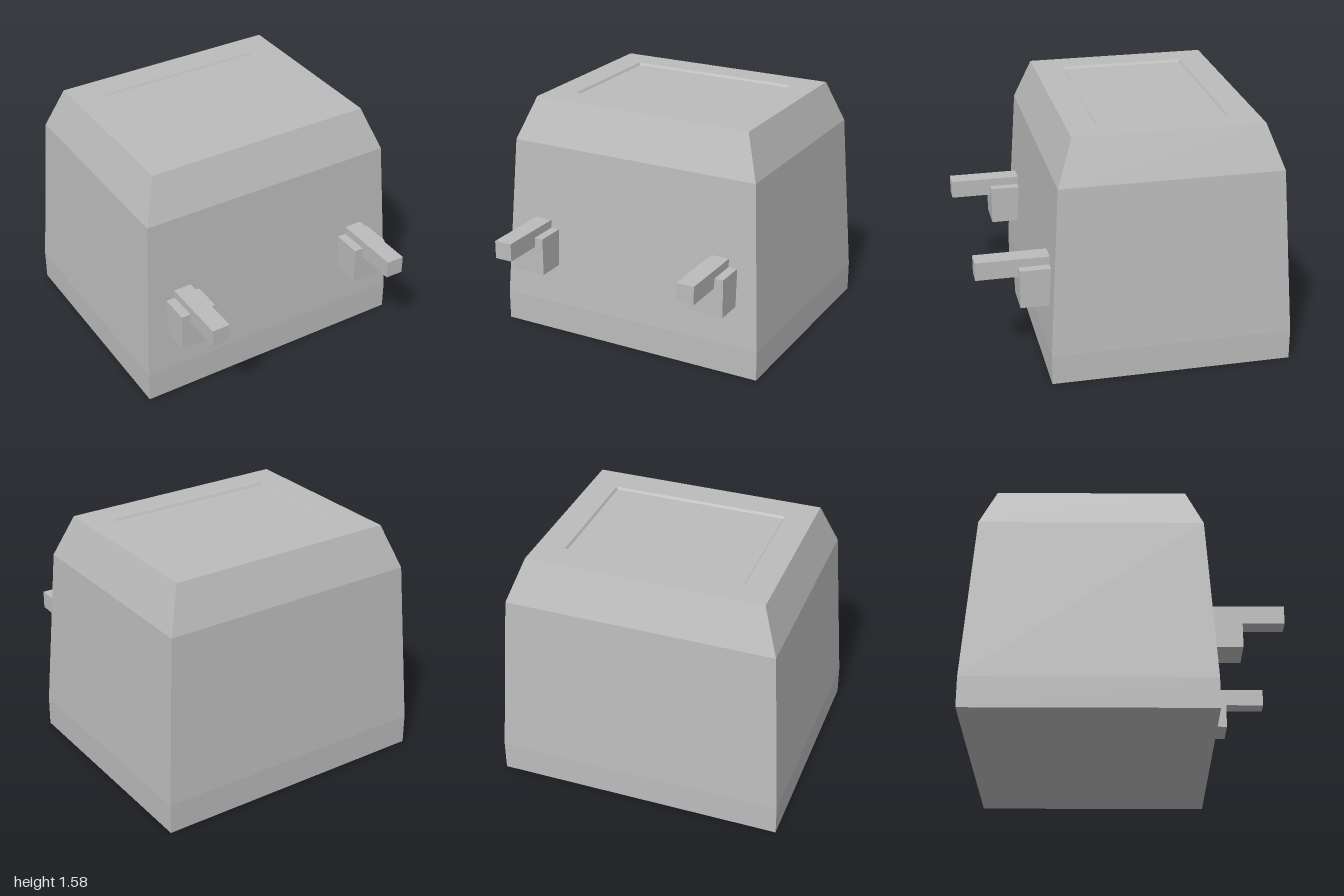
import * as THREE from 'three';

// Closed shell lofted through rectangular sections [y, halfX, zBack, zFront], bottom to top
function loftRects(sections) {
  const pos = [], index = [];
  for (const [y, hx, zb, zf] of sections) {
    pos.push(-hx, y, zf, hx, y, zf, hx, y, zb, -hx, y, zb);
  }
  for (let s = 0; s < sections.length - 1; s++) {
    for (let i = 0; i < 4; i++) {
      const a = s * 4 + i, b = s * 4 + (i + 1) % 4;
      index.push(a, b, b + 4, a, b + 4, a + 4);
    }
  }
  const t = (sections.length - 1) * 4;
  index.push(0, 2, 1, 0, 3, 2, t, t + 1, t + 2, t, t + 2, t + 3);
  const g = new THREE.BufferGeometry();
  g.setAttribute('position', new THREE.Float32BufferAttribute(pos, 3));
  g.setIndex(index);
  const flat = g.toNonIndexed();
  flat.computeVertexNormals();
  return flat;
}

export function createModel() {
  const model = new THREE.Group();
  const grey = new THREE.MeshStandardMaterial({ color: 0xbcbcbc });
  grey.name = 'light grey';

  // Tapered body with a bevelled top and a shallow recessed panel
  const body = new THREE.Mesh(loftRects([
    [0, 0.943, -1, 0.565],
    [0.2, 0.943, -1, 0.565],
    [1.3, 0.876, -0.932, 0.5],
    [1.583, 0.77, -0.827, 0.392],
    [1.583, 0.587, -0.64, 0.202],
    [1.568, 0.577, -0.631, 0.193],
  ]), grey);
  body.name = 'body';
  model.add(body);

  // Box from its minimum and maximum corners
  const box = (name, parent, min, max) => {
    const size = max.map((v, i) => v - min[i]);
    const mesh = new THREE.Mesh(new THREE.BoxGeometry(...size), grey);
    mesh.position.set(...max.map((v, i) => (v + min[i]) / 2));
    mesh.name = name;
    parent.add(mesh);
  };

  // Two forward prongs, each resting in a bracket on the front
  for (const side of [-1, 1]) {
    const prong = new THREE.Group();
    prong.name = side > 0 ? 'leftProng' : 'rightProng';
    prong.position.x = side * 0.66;
    box('bar', prong, [-0.06, 0.665, 0.5], [0.06, 0.785, 1]);
    box('bracket', prong, [-0.12, 0.475, 0.5], [0.12, 0.73, 0.73]);
    model.add(prong);
  }
  return model;
}
